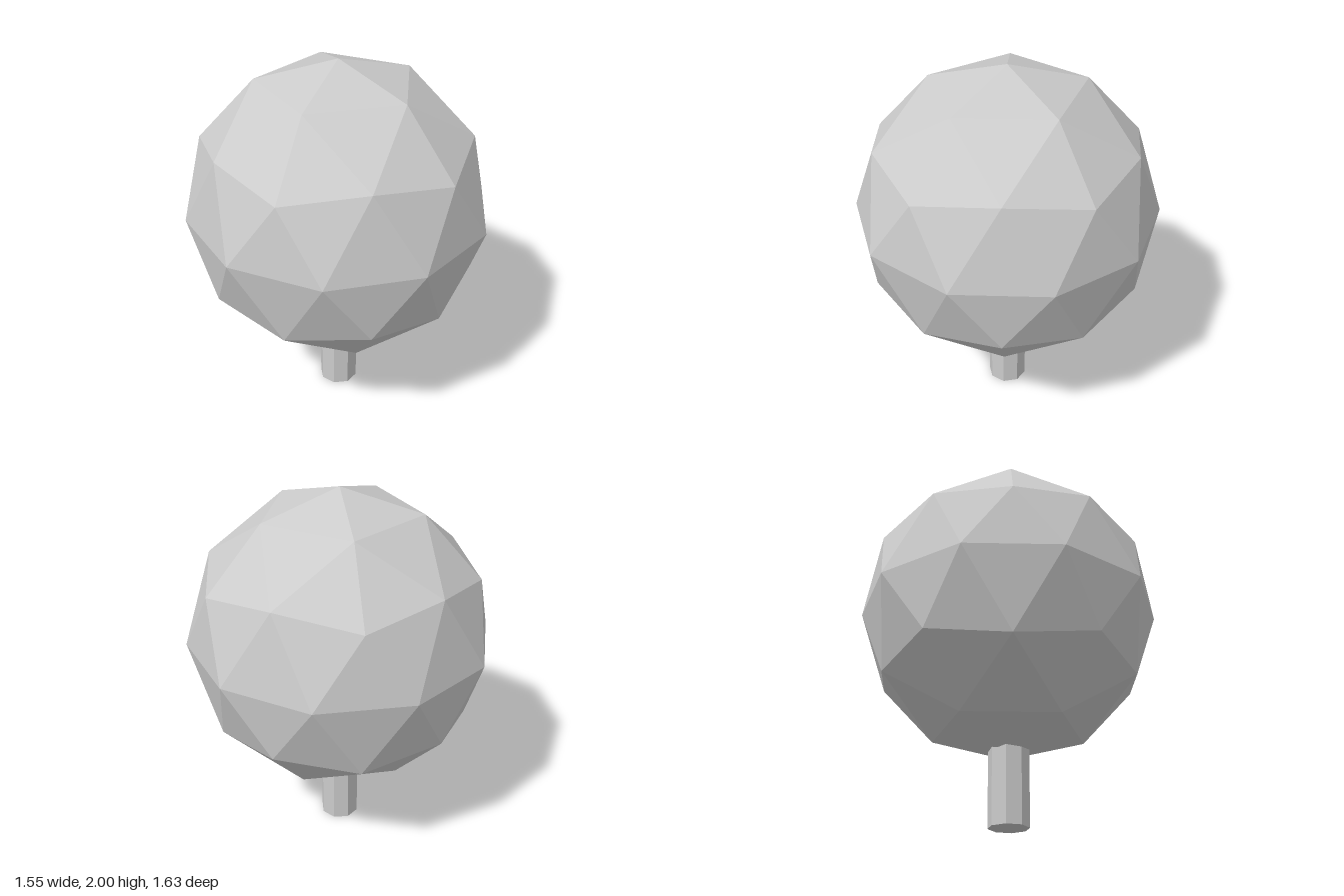
import * as THREE from 'three';

const RADIUS = 0.815;
const TRUNK_HEIGHT = 0.45;

export function createModel() {
  const group = new THREE.Group();
  group.name = 'tree';
  const material = new THREE.MeshStandardMaterial({ color: 0xcccccc, flatShading: true });

  // Faceted crown: an 80-face icosphere, turned so that one corner points straight up
  const crownGeometry = new THREE.IcosahedronGeometry(RADIUS, 1);
  crownGeometry.rotateZ(-Math.atan(2 / (1 + Math.sqrt(5))));
  crownGeometry.computeVertexNormals();
  const crown = new THREE.Mesh(crownGeometry, material);
  crown.name = 'crown';
  crown.position.y = 2 - RADIUS;
  group.add(crown);

  // Eight-sided trunk, its top sunk into the crown
  const trunk = new THREE.Mesh(new THREE.CylinderGeometry(0.108, 0.108, TRUNK_HEIGHT, 8), material);
  trunk.name = 'trunk';
  trunk.position.y = TRUNK_HEIGHT / 2;
  group.add(trunk);

  return group;
}
